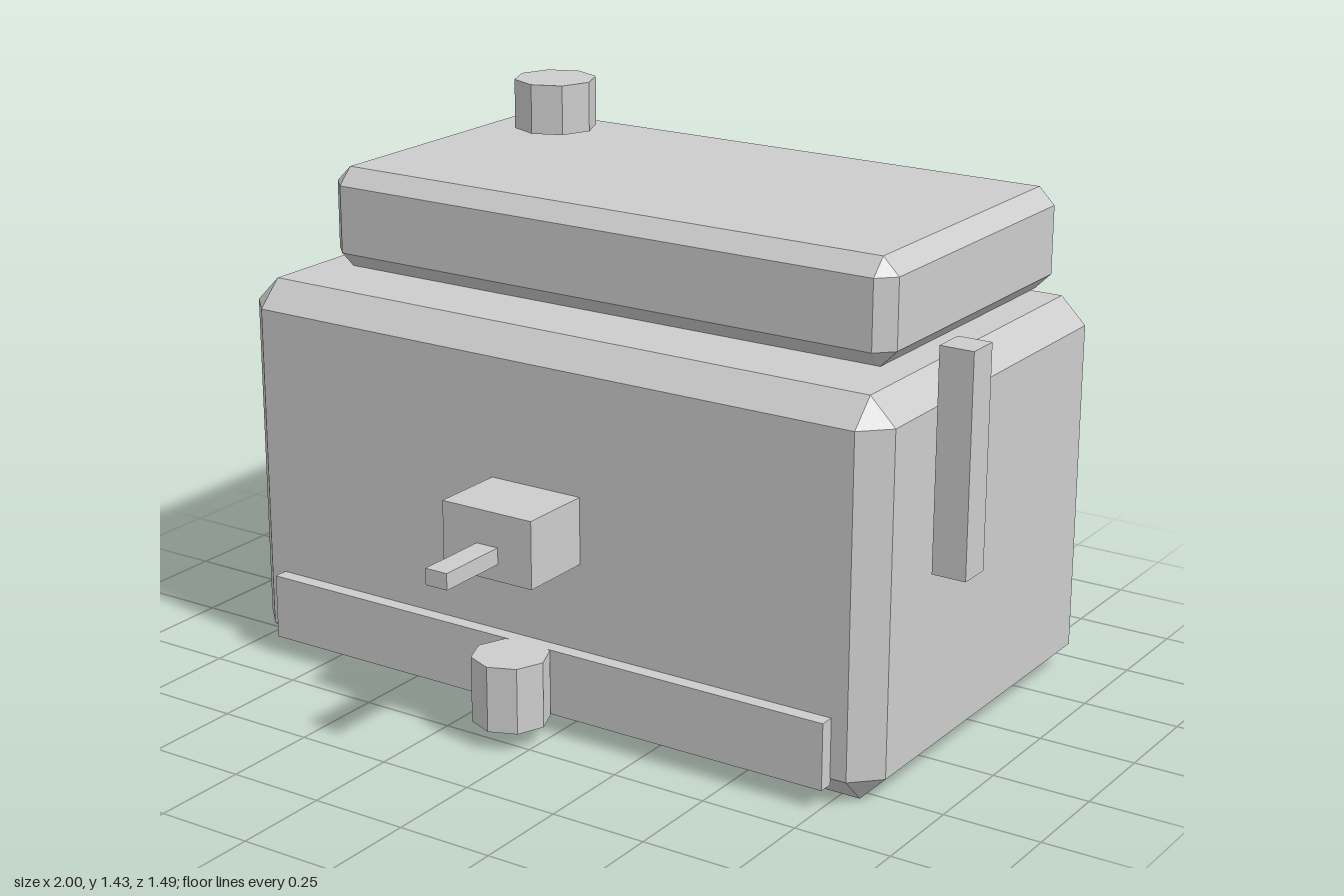
import * as THREE from 'three';
import { ConvexGeometry } from 'three/addons/geometries/ConvexGeometry.js';

const grey = new THREE.MeshStandardMaterial({ color: 0xcccccc, flatShading: true });
grey.name = 'grey';

// Box given by its lower and upper corners
function box(name, [x0, y0, z0], [x1, y1, z1]) {
  const mesh = new THREE.Mesh(new THREE.BoxGeometry(x1 - x0, y1 - y0, z1 - z0), grey);
  mesh.position.set((x0 + x1) / 2, (y0 + y1) / 2, (z0 + z1) / 2);
  mesh.name = name;
  return mesh;
}

// Box with flat chamfers on every edge and a small triangle at every corner
function chamferedBox(name, [x0, y0, z0], [x1, y1, z1], c) {
  const half = [(x1 - x0) / 2, (y1 - y0) / 2, (z1 - z0) / 2];
  const points = [];
  for (const sx of [-1, 1]) for (const sy of [-1, 1]) for (const sz of [-1, 1]) {
    const sign = [sx, sy, sz];
    for (let axis = 0; axis < 3; axis++) {
      const p = half.map((h, i) => sign[i] * (i === axis ? h : h - c));
      points.push(new THREE.Vector3(...p));
    }
  }
  const mesh = new THREE.Mesh(new ConvexGeometry(points), grey);
  mesh.position.set((x0 + x1) / 2, (y0 + y1) / 2, (z0 + z1) / 2);
  mesh.name = name;
  return mesh;
}

// Upright eight-sided knob
function knob(name, x, z, y0, y1, r) {
  const mesh = new THREE.Mesh(new THREE.CylinderGeometry(r, r, y1 - y0, 8), grey);
  mesh.position.set(x, (y0 + y1) / 2, z);
  mesh.name = name;
  return mesh;
}

export function createModel() {
  const model = new THREE.Group();
  model.name = 'chamferedMachine';
  model.add(
    // Main housing and the set-back upper block
    chamferedBox('body', [-1, 0, -0.747], [0.865, 0.992, 0.352], 0.067),
    chamferedBox('upperBlock', [-0.89, 0.992, -0.747], [0.755, 1.255, 0.13], 0.043),
    // Front fittings
    box('frontStrip', [-0.89, 0.05, 0.35], [0.755, 0.22, 0.39]),
    knob('frontKnob', -0.08, 0.463, 0.05, 0.22, 0.097),
    box('spoutBlock', [-0.21, 0.445, 0.35], [0.05, 0.617, 0.55]),
    box('spoutBar', [-0.11, 0.488, 0.55], [-0.048, 0.53, 0.747]),
    // Parts floating beside and above the housing
    box('sideBar', [0.91, 0.552, 0.09], [0.997, 1.1, 0.177]),
    knob('topKnob', -0.563, -0.42, 1.3, 1.43, 0.108),
  );
  return model;
}
